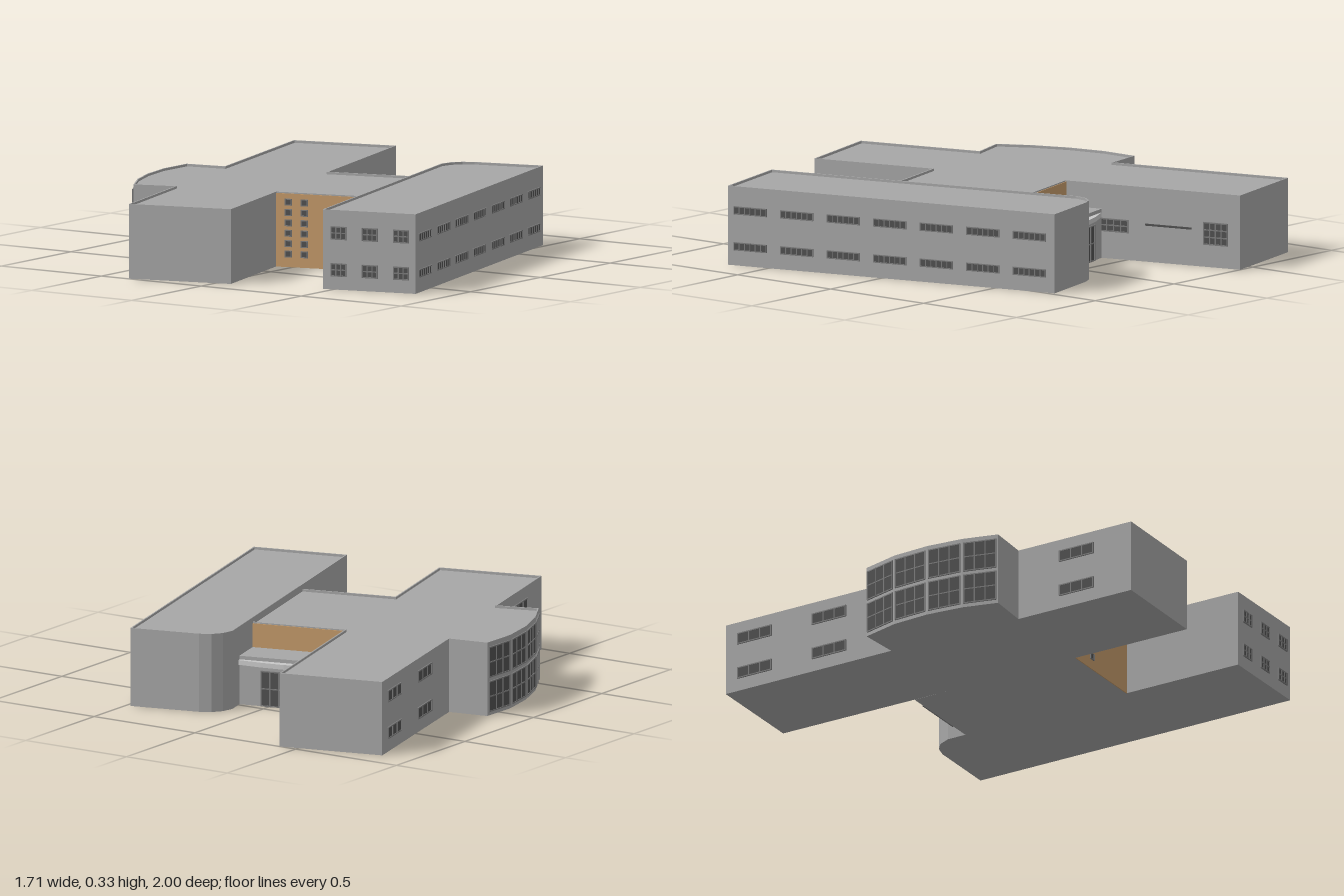
import * as THREE from 'three';

const paint = (name, color, side = THREE.FrontSide) => {
  const m = new THREE.MeshStandardMaterial({ color, side });
  m.name = name;
  return m;
};

export function createModel() {
  const wallGrey = paint('wall grey', 0xa6a6a6);
  const tan = paint('tan cladding', 0xc49a6a);
  const glass = paint('dark glass', 0x505050);
  const frameGrey = paint('frame grey', 0x7c7c7c);
  const paleGrey = paint('canopy pale grey', 0xc8c8c8);

  const model = new THREE.Group();
  model.name = 'building';

  // Plan points are [x, z]
  const toShape = (pts) => new THREE.Shape(pts.map(([x, z]) => new THREE.Vector2(x, -z)));

  function slab(name, shape, y0, y1, mat, parent = model) {
    const geo = new THREE.ExtrudeGeometry(shape, { depth: y1 - y0, bevelEnabled: false });
    geo.rotateX(-Math.PI / 2);
    const mesh = new THREE.Mesh(geo, mat);
    mesh.position.y = y0;
    mesh.name = name;
    parent.add(mesh);
    return mesh;
  }

  // Moves every plan edge inward by d (points listed counter-clockwise from above)
  function inset(pts, d) {
    const v = pts.map(([x, z]) => new THREE.Vector2(x, -z));
    return v.map((p, i) => {
      const a = p.clone().sub(v[(i + v.length - 1) % v.length]).normalize();
      const b = v[(i + 1) % v.length].clone().sub(p).normalize();
      const na = new THREE.Vector2(-a.y, a.x), nb = new THREE.Vector2(-b.y, b.x);
      return p.clone().addScaledVector(na.clone().add(nb), d / (1 + na.dot(nb)));
    });
  }

  // Solid block with a thin parapet round the roof
  function block(name, pts, height) {
    const g = new THREE.Group();
    g.name = name;
    model.add(g);
    slab(name + 'Walls', toShape(pts), 0, height - 0.01, wallGrey, g);
    const ring = toShape(pts);
    ring.holes.push(new THREE.Path(inset(pts, 0.006)));
    slab(name + 'Parapet', ring, height - 0.01, height, wallGrey, g);
  }

  // Group on a wall running from a to b, left to right as seen from outside
  function wall(name, a, b) {
    const g = new THREE.Group();
    const dx = b[0] - a[0], dz = b[1] - a[1];
    g.name = name;
    g.position.set(a[0], 0, a[1]);
    g.rotation.y = Math.atan2(-dz, dx);
    g.userData.length = Math.hypot(dx, dz);
    model.add(g);
    return g;
  }

  function plate(parent, name, x, y, w, h, depth, mat) {
    const m = new THREE.Mesh(new THREE.BoxGeometry(w, h, depth), mat);
    m.position.set(x, y, depth / 2);
    m.name = name;
    parent.add(m);
  }

  // Glass plate with a frame and glazing bars
  function pane(parent, x, y, w, h, cols, rows, bar = 0.005, base = 0) {
    const g = new THREE.Group();
    g.name = 'window';
    g.position.z = base;
    parent.add(g);
    plate(g, 'glass', x, y, w, h, 0.003, glass);
    for (let i = 0; i <= cols; i++)
      plate(g, 'upright', x - w / 2 + (w * i) / cols, y, bar, h + bar, 0.006, frameGrey);
    for (let j = 0; j <= rows; j++)
      plate(g, 'crossbar', x, y - h / 2 + (h * j) / rows, w + bar, bar, 0.0055, frameGrey);
  }

  // Main block with back wing, front wing and bowed side
  const bow = [[-0.83, -0.085], [-0.832, 0.08], [-0.80, 0.24], [-0.745, 0.39], [-0.67, 0.525]];
  block('mainBlock', [
    [-0.855, -0.89], ...[[-0.66, -0.115]], ...bow, [-0.50, 0.47], [-0.365, 0.995],
    [0.065, 0.88], [-0.07, 0.36], [0.335, 0.255], [0.185, -0.335], [-0.22, -0.23], [-0.42, -1.0],
  ], 0.31);

  // Long side wing with one rounded back corner
  block('sideWing', [
    [0.48, -0.765], [0.19, -0.69], [0.145, -0.665], [0.115, -0.625], [0.105, -0.57],
    [0.455, 0.78], [0.85, 0.68],
  ], 0.33);

  // Long wall: two rows of strip windows
  const longWall = wall('sideWingLongWall', [0.85, 0.68], [0.48, -0.765]);
  for (let i = 0; i < 7; i++)
    for (const y of [0.08, 0.23])
      pane(longWall, 0.103 + i * 0.2125, y, 0.146, 0.03, 6, 1, 0.004);

  // Front wall of the side wing
  const endWall = wall('sideWingFrontWall', [0.455, 0.78], [0.85, 0.68]);
  for (let i = 0; i < 3; i++)
    for (const y of [0.082, 0.235]) pane(endWall, 0.07 + i * 0.137, y, 0.064, 0.05, 3, 2);

  // Outer walls of the back and front wings
  const backOuter = wall('backWingOuterWall', [-0.855, -0.89], [-0.66, -0.115]);
  for (const x of [0.14, 0.5])
    for (const y of [0.08, 0.235]) pane(backOuter, x, y, 0.16, 0.045, 3, 1);
  const frontOuter = wall('frontWingOuterWall', [-0.50, 0.47], [-0.365, 0.995]);
  for (const y of [0.08, 0.235]) pane(frontOuter, 0.28, y, 0.16, 0.045, 3, 1);

  // Inner wall of the back wing
  const backInner = wall('backWingInnerWall', [-0.22, -0.23], [-0.42, -1.0]);
  pane(backInner, 0.19, 0.14, 0.19, 0.05, 6, 2);
  pane(backInner, 0.685, 0.14, 0.106, 0.09, 4, 3);
  plate(backInner, 'ledge', 0.47, 0.155, 0.21, 0.008, 0.006, glass);

  // Curtain wall on the bow
  for (let i = 0; i < bow.length - 1; i++) {
    const seg = wall('curtainWall', bow[i], bow[i + 1]);
    const l = seg.userData.length;
    for (const y of [0.08, 0.225]) pane(seg, l / 2, y, l - 0.018, 0.125, 3, 2, 0.005);
  }

  // Tan courtyard wall with small windows
  const court = wall('courtyardWall', [-0.07, 0.36], [0.322, 0.258]);
  plate(court, 'tanCladding', court.userData.length / 2, 0.1525, court.userData.length, 0.305, 0.004, tan);
  for (const x of [0.055, 0.125])
    for (let j = 0; j < 6; j++) pane(court, x, 0.055 + j * 0.043, 0.026, 0.024, 1, 1, 0.004, 0.004);

  // Low entrance block with tan wall above it
  slab('entranceBlock', toShape([
    [-0.26, -0.39], [-0.22, -0.23], [0.185, -0.335], [0.15, -0.495],
  ]), 0, 0.205, wallGrey);
  const upper = wall('entranceUpperWall', [0.168, -0.331], [-0.22, -0.23]);
  plate(upper, 'tanCladding', upper.userData.length / 2, 0.255, upper.userData.length, 0.1, 0.004, tan);

  // Curved canopy over the entrance
  slab('entranceCanopy', toShape([
    [-0.26, -0.39], [0.15, -0.49], [0.13, -0.503], [0.02, -0.49], [-0.08, -0.47], [-0.17, -0.437],
  ]), 0.17, 0.19, paleGrey);

  // Glazed entrance doors
  const entrance = wall('entranceDoors', [0.13, -0.49], [-0.26, -0.39]);
  pane(entrance, 0.215, 0.075, 0.23, 0.145, 6, 2);

  return model;
}
